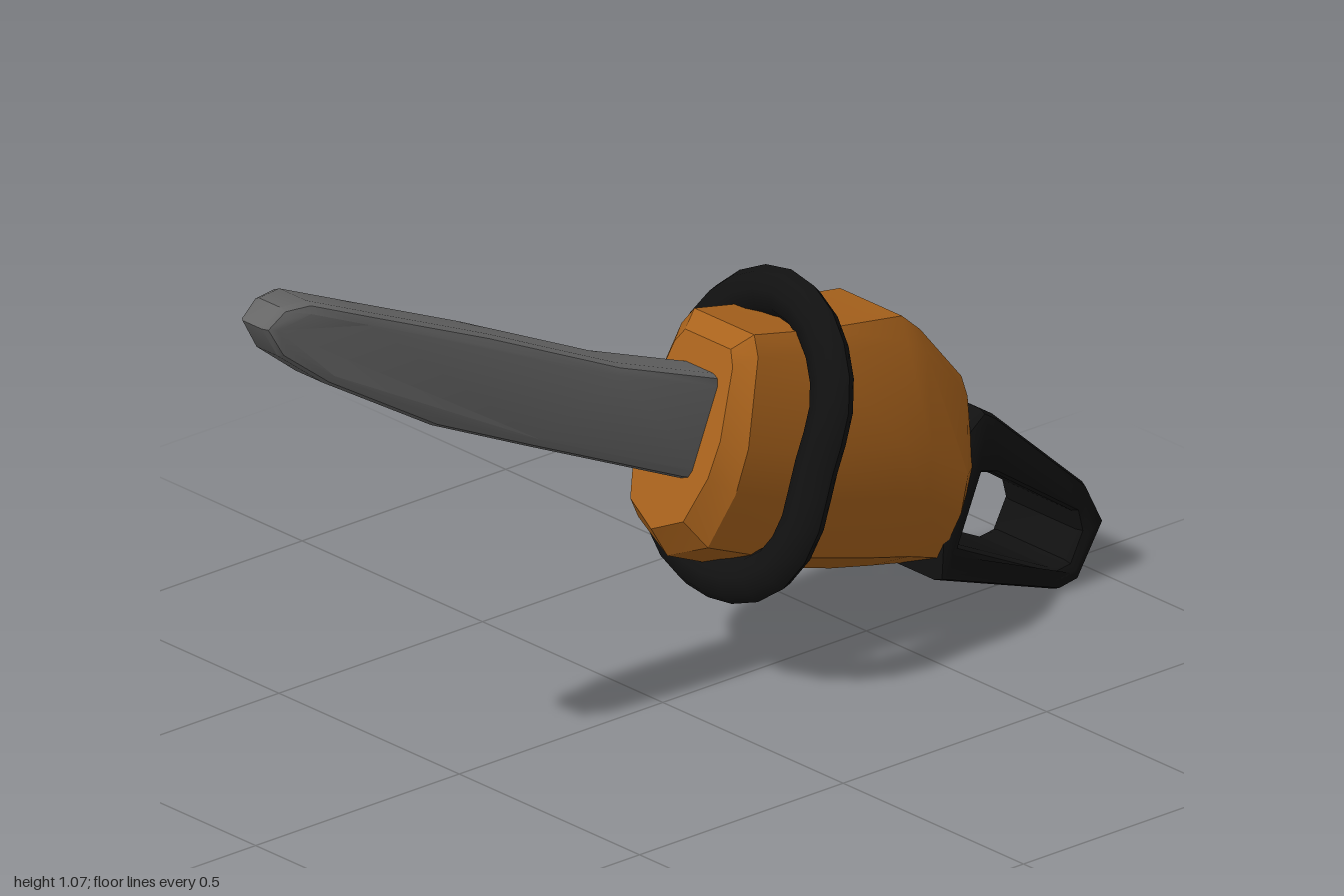
import * as THREE from 'three';
import { toCreasedNormals } from 'three/addons/utils/BufferGeometryUtils.js';

const CENTRE_X = -0.01;

function part(name, geometry, color, crease = 0.5) {
  const mesh = new THREE.Mesh(
    toCreasedNormals(geometry, crease),
    new THREE.MeshStandardMaterial({ color })
  );
  mesh.name = name;
  return mesh;
}

const toPoints = (list) => list.map(([z, y]) => new THREE.Vector2(z, y));

// Side profile given as [z, y], extruded across x with chamfered edges
function sidePlate(outline, hole, width, bevel) {
  const shape = new THREE.Shape(toPoints(outline));
  if (hole) shape.holes.push(new THREE.Path(toPoints(hole)));
  const depth = width - 2 * bevel;
  const g = new THREE.ExtrudeGeometry(shape, {
    depth, bevelEnabled: true, bevelThickness: bevel, bevelSize: bevel,
    bevelOffset: -bevel, bevelSegments: 2,
  });
  g.translate(0, 0, -depth / 2);
  g.rotateY(-Math.PI / 2);
  g.translate(CENTRE_X, 0, 0);
  return g;
}

// Motor housing: one faceted cross-section lofted along slanted stations
function housingGeometry() {
  // half section, [width fraction, height fraction] from bottom to top
  const half = [[0.7, 0.1], [0.97, 0.35], [1, 0.55], [0.77, 0.92], [0.6, 1]];
  const ring = [[0, 0], ...half, ...half.slice().reverse().map(([w, t]) => [-w, t])];
  // [top z, top y, bottom z, bottom y, half width]
  const stations = [
    [-0.12, 0.69, 0.02, 0.35, 0.105],
    [-0.16, 0.714, -0.02, 0.285, 0.138],
    [-0.32, 0.68, -0.17, 0.22, 0.143],
    [-0.52, 0.65, -0.42, 0.145, 0.143],
    [-0.565, 0.61, -0.52, 0.122, 0.143],
    [-0.67, 0.485, -0.6, 0.105, 0.136],
    [-0.69, 0.41, -0.65, 0.195, 0.11],
  ];
  const n = ring.length;
  const pos = [];
  const index = [];
  for (const [tz, ty, bz, by, w] of stations) {
    for (const [u, t] of ring) {
      pos.push(CENTRE_X + u * w, by + (ty - by) * t, bz + (tz - bz) * t);
    }
  }
  for (let i = 0; i < stations.length - 1; i++) {
    for (let j = 0; j < n; j++) {
      const k = (j + 1) % n;
      const a = i * n + j, b = i * n + k, c = b + n, d = a + n;
      index.push(a, d, b, b, d, c);
    }
  }
  // front and back caps
  const last = (stations.length - 1) * n;
  for (let j = 1; j < n - 1; j++) {
    index.push(0, j, j + 1, last, last + j + 1, last + j);
  }
  const g = new THREE.BufferGeometry();
  g.setAttribute('position', new THREE.Float32BufferAttribute(pos, 3));
  g.setIndex(index);
  return g;
}

// Wrap-around front grip: flattened tube along an upright oval
function frontGripGeometry() {
  const right = [[0.085, 0.248], [0.15, 0.19], [0.187, 0.11], [0.187, -0.02],
    [0.187, -0.13], [0.155, -0.205], [0.09, -0.253]];
  const path = [[0, 0.27], ...right, [0, -0.27],
    ...right.slice().reverse().map(([x, y]) => [-x, y])];
  const curve = new THREE.CatmullRomCurve3(
    path.map(([x, y]) => new THREE.Vector3(x, y, 0)), true
  );
  const g = new THREE.TubeGeometry(curve, 28, 0.046, 8, true);
  g.scale(1, 1, 0.76);
  return g;
}

export function createModel() {
  const model = new THREE.Group();
  model.name = 'chainsaw';

  // Guide bar, tapering across x at the tip
  const bar = sidePlate([
    [-0.12, 0.632], [0.14, 0.73], [0.46, 0.88], [0.754, 1.008], [0.9, 1.072],
    [0.957, 1.072], [1.0, 1.04], [0.963, 0.976], [0.86, 0.896],
    [0.594, 0.735], [0.353, 0.623], [-0.01, 0.457], [-0.08, 0.43],
  ], null, 0.116, 0.02);
  const p = bar.attributes.position;
  for (let i = 0; i < p.count; i++) {
    const k = 1 - 0.3 * THREE.MathUtils.smoothstep(p.getZ(i), 0.88, 1);
    p.setX(i, CENTRE_X + (p.getX(i) - CENTRE_X) * k);
  }
  model.add(part('guideBar', bar, 0x666666, 0.6));

  model.add(part('housing', housingGeometry(), 0xa8621c, 0.45));

  const grip = part('frontGrip', frontGripGeometry(), 0x111111, 0.9);
  grip.position.set(-0.002, 0.477, -0.215);
  grip.rotation.x = -0.33;
  model.add(grip);

  // Rear handle: wide chamfered loop
  model.add(part('rearHandle', sidePlate([
    [-0.66, 0.38], [-0.705, 0.414], [-0.735, 0.395], [-0.957, 0.195], [-1.0, 0.11],
    [-0.936, 0.008], [-0.888, 0.0], [-0.594, 0.102], [-0.6, 0.2],
  ], [
    [-0.645, 0.16], [-0.7, 0.288], [-0.735, 0.278], [-0.93, 0.145],
    [-0.94, 0.105], [-0.912, 0.052], [-0.875, 0.047],
  ], 0.225, 0.02), 0x111111, 0.6));

  return model;
}
